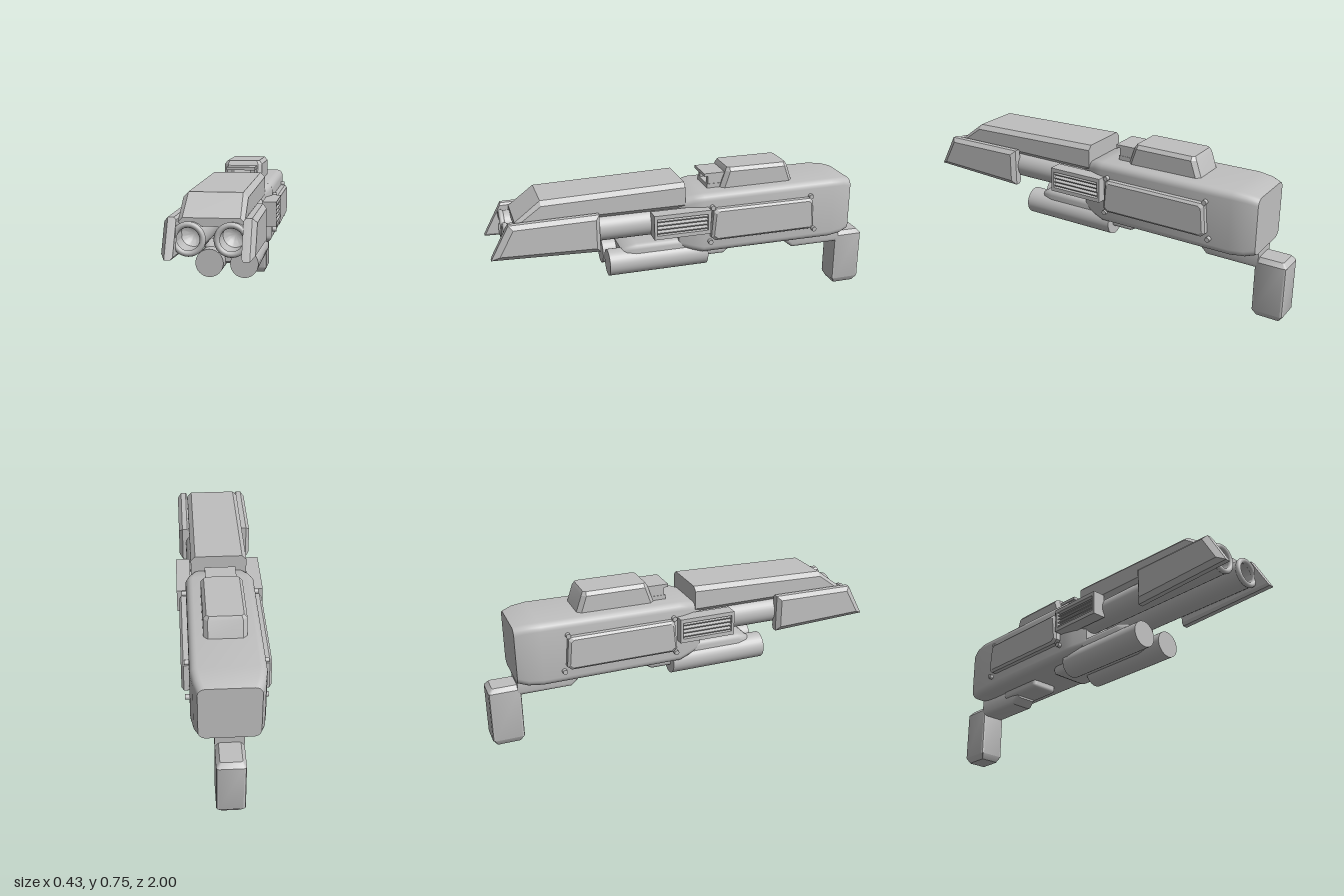
import * as THREE from 'three';
import { toCreasedNormals } from 'three/addons/utils/BufferGeometryUtils.js';
import { RoundedBoxGeometry } from 'three/addons/geometries/RoundedBoxGeometry.js';

// Skin through convex counter-clockwise rings of [x, y] points, each at its own z (ascending).
function skin(rings, crease = 0.6) {
  const pos = [];
  const n = rings[0].pts.length;
  const put = (r, i) => { const p = rings[r].pts[i % n]; pos.push(p[0], p[1], rings[r].z); };
  for (let r = 0; r + 1 < rings.length; r++) {
    for (let i = 0; i < n; i++) {
      put(r, i); put(r, i + 1); put(r + 1, i + 1);
      put(r, i); put(r + 1, i + 1); put(r + 1, i);
    }
  }
  const last = rings.length - 1;
  for (let i = 1; i + 1 < n; i++) {
    put(0, 0); put(0, i + 1); put(0, i);
    put(last, 0); put(last, i); put(last, i + 1);
  }
  const g = new THREE.BufferGeometry();
  g.setAttribute('position', new THREE.Float32BufferAttribute(pos, 3));
  return toCreasedNormals(g, crease);
}

// Rounded rectangle ring: half width w, from y0 to y1, corner radius r, seg steps per corner.
function rect(z, w, y0, y1, r, seg = 1) {
  const pts = [];
  const corners = [[w - r, y1 - r], [-w + r, y1 - r], [-w + r, y0 + r], [w - r, y0 + r]];
  corners.forEach(([cx, cy], k) => {
    for (let i = 0; i <= seg; i++) {
      const a = (k + i / seg) * Math.PI / 2;
      pts.push([cx + r * Math.cos(a), cy + r * Math.sin(a)]);
    }
  });
  return { z, pts };
}

// Mirror across x with the winding repaired.
function mirrored(geo) {
  const g = geo.index ? geo.toNonIndexed() : geo.clone();
  g.scale(-1, 1, 1);
  for (const a of Object.values(g.attributes)) {
    const s = a.itemSize;
    for (let t = 0; t < a.array.length; t += 3 * s) {
      for (let k = 0; k < s; k++) {
        const v = a.array[t + s + k];
        a.array[t + s + k] = a.array[t + 2 * s + k];
        a.array[t + 2 * s + k] = v;
      }
    }
  }
  return g;
}

export function createModel() {
  const model = new THREE.Group();
  const grey = new THREE.MeshStandardMaterial({ color: 0xc0c0c0 });
  grey.name = 'plain grey';

  const add = (name, geo) => {
    const mesh = new THREE.Mesh(geo, grey);
    mesh.name = name;
    model.add(mesh);
  };
  const addPair = (name, geo) => {
    add(name + 'Left', geo);
    add(name + 'Right', mirrored(geo));
  };
  // Side plates: rings of [z, y] points (counter-clockwise seen from +x) skinned outwards
  const sidePlate = (layers) => skin(layers.map(([x, pts]) => ({
    z: x, pts: pts.map(([z, y]) => [-z, y]),
  })), 0.3).rotateY(Math.PI / 2);
  const box = (w, h, d, x, y, z) => new THREE.BoxGeometry(w, h, d).translate(x, y, z);

  // Main receiver
  add('body', skin([
    rect(-0.87, 0.14, 0.35, 0.635, 0.035, 5),
    rect(-0.82, 0.158, 0.337, 0.648, 0.035, 5),
    rect(-0.75, 0.17, 0.333, 0.653, 0.035, 5),
    rect(-0.05, 0.17, 0.335, 0.648, 0.035, 5),
    rect(0.0, 0.155, 0.345, 0.638, 0.035, 5),
    rect(0.07, 0.125, 0.36, 0.615, 0.035, 5),
  ]));

  // Upper barrel shroud with sloped nose
  add('shroud', skin([
    rect(0.04, 0.14, 0.575, 0.71, 0.022),
    rect(0.75, 0.14, 0.575, 0.692, 0.022),
    rect(0.875, 0.14, 0.562, 0.598, 0.018),
  ], 0.2));

  // Twin hollow barrels with muzzle rings
  const barrelProfile = [[0, 0], [0.068, 0], [0.068, 0.918], [0.052, 0.918], [0.052, 0.8], [0.03, 0.778], [0, 0.77]]
    .map(([r, y]) => new THREE.Vector2(r, y));
  addPair('barrel', toCreasedNormals(
    new THREE.LatheGeometry(barrelProfile, 32).rotateX(Math.PI / 2), 0.6).translate(0.09, 0.515, 0));
  addPair('muzzleRing', new THREE.TorusGeometry(0.061, 0.013, 12, 32).translate(0.09, 0.515, 0.917));

  // Swept fins beside the muzzles
  const fin = [[0.48, 0.42], [0.48, 0.61], [0.91, 0.605], [1.0, 0.44]];
  const finInset = [[0.5, 0.445], [0.5, 0.59], [0.89, 0.585], [0.96, 0.46]];
  const finInner = [[0.48, 0.437], [0.48, 0.598], [0.915, 0.594], [0.993, 0.452]];
  addPair('fin', sidePlate([[0.14, finInner], [0.149, fin], [0.175, fin], [0.194, finInset]]));

  // Lower tubes, their saddle and rear clamp
  addPair('lowerTube', new THREE.CylinderGeometry(0.067, 0.067, 0.51, 32)
    .rotateX(Math.PI / 2).translate(0.083, 0.315, 0.175));
  add('saddle', skin([
    rect(-0.05, 0.13, 0.29, 0.41, 0.025, 4),
    rect(0.29, 0.13, 0.29, 0.41, 0.025, 4),
    rect(0.34, 0.12, 0.3, 0.395, 0.025, 4),
    rect(0.36, 0.105, 0.31, 0.38, 0.018, 4),
  ]));
  add('rearClamp', skin([
    rect(-0.21, 0.09, 0.305, 0.36, 0.015, 3),
    rect(-0.18, 0.105, 0.29, 0.36, 0.02, 3),
    rect(0.0, 0.105, 0.29, 0.36, 0.02, 3),
  ]));

  // Louvred vents on both flanks
  const ventX = 0.18, ventY = 0.522, ventZ = 0.075;
  for (const s of [-1, 1]) {
    addPair('ventRail', box(0.07, 0.02, 0.29, ventX, ventY + s * 0.052, ventZ));
    addPair('ventEnd', box(0.07, 0.084, 0.014, ventX, ventY, ventZ + s * 0.138));
  }
  addPair('ventBack', box(0.05, 0.1, 0.27, 0.165, ventY, ventZ));
  for (let i = 0; i < 4; i++) {
    addPair('ventSlat', new THREE.BoxGeometry(0.02, 0.007, 0.264)
      .rotateZ(-0.35).translate(0.198, ventY - 0.03 + i * 0.02, ventZ));
  }

  // Raised side panels with clipped corners, bevelled outwards
  const panel = [[-0.08, 0.43], [-0.1, 0.412], [-0.62, 0.412], [-0.64, 0.43],
    [-0.628, 0.565], [-0.615, 0.577], [-0.105, 0.577], [-0.092, 0.565]];
  const panelInset = panel.map(([z, y]) => [-0.36 + (z + 0.36) * 0.955, 0.495 + (y - 0.495) * 0.86]);
  addPair('sidePanel', sidePlate([[0.15, panel], [0.194, panel], [0.205, panelInset]]));

  // Panel screws
  for (const [z, y] of [[-0.09, 0.582], [-0.625, 0.582], [-0.08, 0.4], [-0.65, 0.4]]) {
    addPair('screw', new THREE.CylinderGeometry(0.012, 0.012, 0.05, 16)
      .rotateZ(-Math.PI / 2).translate(0.166, y, z));
  }

  // Top housing, skinned upwards (ring y becomes -z), and the small bracket ahead of it
  add('topHousing', skin([
    rect(0.63, 0.1, 0.155, 0.56, 0.02),
    rect(0.732, 0.1, 0.19, 0.525, 0.02),
    rect(0.75, 0.085, 0.2, 0.515, 0.012),
  ], 0.2).rotateX(-Math.PI / 2));
  add('bracketPlate', box(0.15, 0.016, 0.13, 0, 0.717, -0.145));
  for (const s of [-1, 1]) add('bracketLeg', box(0.025, 0.07, 0.1, s * 0.06, 0.675, -0.15));
  add('bracketFoot', box(0.15, 0.03, 0.11, 0, 0.655, -0.15));

  // Underside rails leading to the grip
  add('underRail', new RoundedBoxGeometry(0.15, 0.07, 0.27, 3, 0.02).translate(0, 0.33, -0.525));
  add('gripMount', skin([
    rect(-0.86, 0.067, 0.254, 0.36, 0.02, 3),
    rect(-0.59, 0.067, 0.254, 0.36, 0.02, 3),
    rect(-0.55, 0.06, 0.285, 0.36, 0.02, 3),
  ]));

  // Rear grip, skinned upwards
  add('grip', skin([
    rect(0, 0.05, 0.86, 0.98, 0.008, 2),
    rect(0.03, 0.067, 0.842, 1.0, 0.012, 2),
    rect(0.288, 0.067, 0.842, 1.0, 0.012, 2),
    rect(0.31, 0.05, 0.86, 0.98, 0.008, 2),
  ]).rotateX(-Math.PI / 2));

  return model;
}
